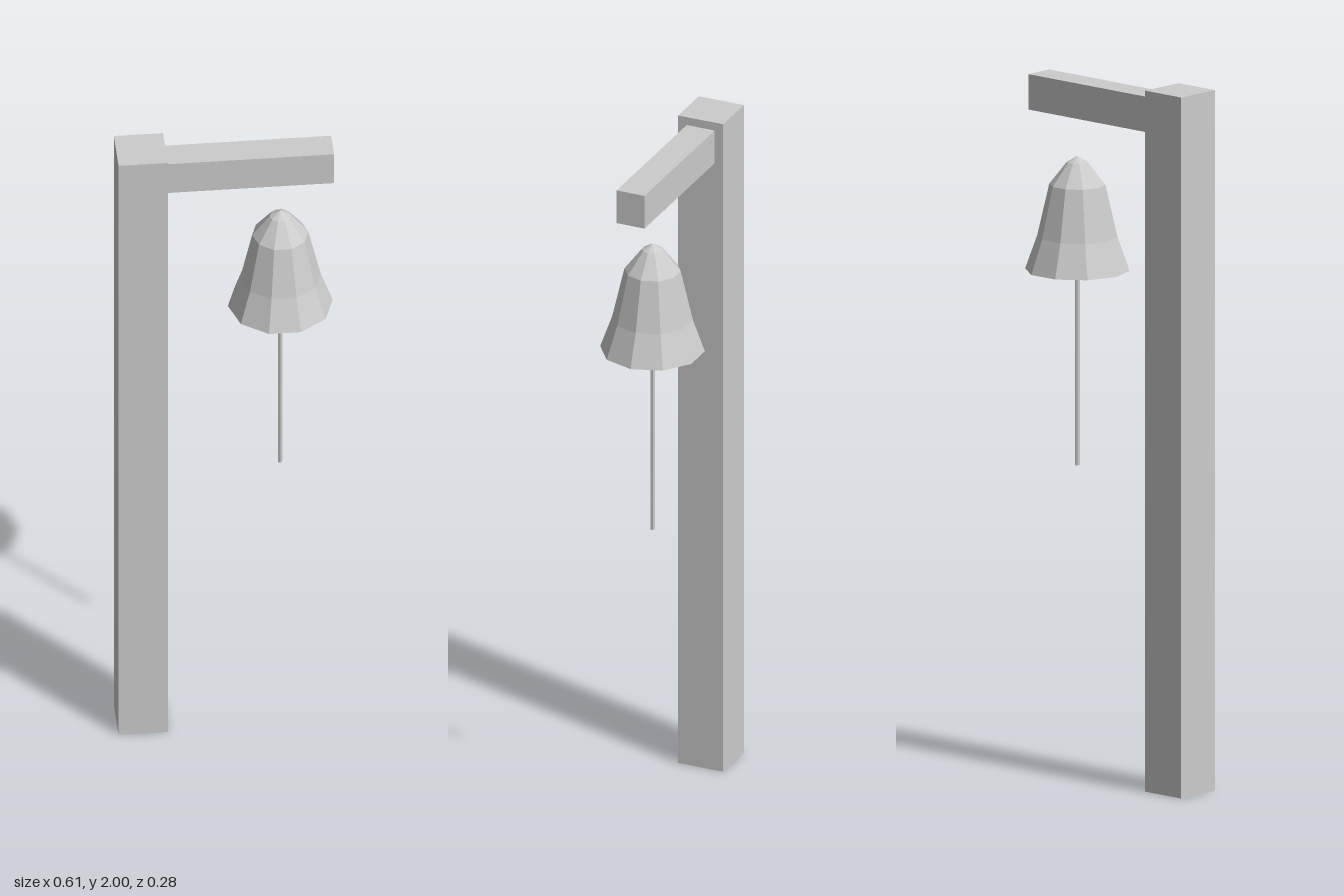
import * as THREE from 'three';

export function createModel() {
  const model = new THREE.Group();
  const grey = new THREE.MeshStandardMaterial({ color: 0xcccccc, flatShading: true });
  grey.name = 'light grey';

  const add = (name, geometry, x, y, z = 0) => {
    const mesh = new THREE.Mesh(geometry, grey);
    mesh.name = name;
    mesh.position.set(x, y, z);
    model.add(mesh);
    return mesh;
  };

  // Upright post and the arm it carries
  add('post', new THREE.BoxGeometry(0.138, 2, 0.138), -0.235, 1);
  add('arm', new THREE.BoxGeometry(0.47, 0.101, 0.086), 0.068, 1.925);

  // Ten-sided bell, closed below by a shallow cone
  const profile = [
    [0, 1.414], [0.147, 1.432], [0.113, 1.528],
    [0.079, 1.676], [0.03, 1.739], [0, 1.757],
  ].map(([r, y]) => new THREE.Vector2(r, y));
  const bellX = 0.156;
  const bell = add('bell', new THREE.LatheGeometry(profile, 10), bellX, 0);
  bell.rotation.y = Math.PI / 2;

  // Thin pull rod hanging from the bell
  add('pullRod', new THREE.CylinderGeometry(0.007, 0.007, 0.565, 6), bellX, 1.1575);

  return model;
}
